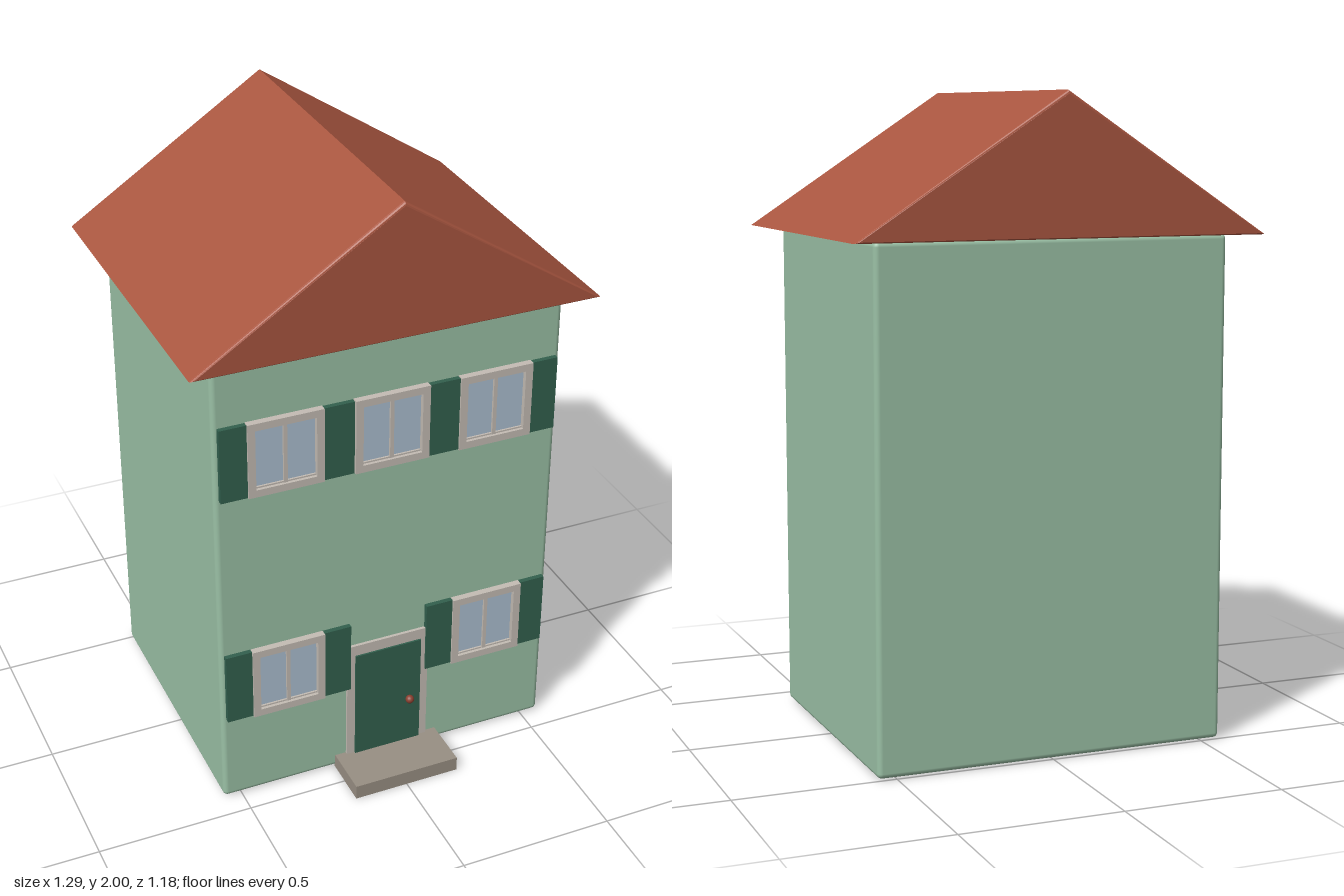
import * as THREE from 'three';
import { RoundedBoxGeometry } from 'three/addons/geometries/RoundedBoxGeometry.js';

const mat = (name, color) => {
  const m = new THREE.MeshStandardMaterial({ color });
  m.name = name;
  return m;
};

export function createModel() {
  const wall = mat('wall green', 0x9ac0a5);
  const roofRed = mat('roof red', 0xa95640);
  const darkGreen = mat('shutter green', 0x32604e);
  const trim = mat('trim grey', 0xc4bcb4);
  const glass = mat('window glass', 0xacbfd0);
  const stone = mat('step stone', 0x988f83);
  const brown = mat('knob brown', 0x8a4030);

  const house = new THREE.Group();
  house.name = 'house';
  const FRONT = 0.424; // z of the front wall

  const add = (parent, name, geometry, material, x = 0, y = 0, z = 0) => {
    const m = new THREE.Mesh(geometry, material);
    m.name = name;
    m.position.set(x, y, z);
    parent.add(m);
    return m;
  };
  // Box given by its limits
  const box = (parent, name, material, x0, x1, y0, y1, z0, z1) =>
    add(parent, name, new THREE.BoxGeometry(x1 - x0, y1 - y0, z1 - z0), material,
      (x0 + x1) / 2, (y0 + y1) / 2, (z0 + z1) / 2);
  // Flat rectangular frame with an opening
  const frame = (parent, name, w, h, border, open, depth, z) => {
    const s = new THREE.Shape([[-w, 0], [w, 0], [w, h], [-w, h]].map(p => new THREE.Vector2(...p)));
    const b = open ? -0.001 : border, i = w - border;
    if (open) {
      s.setFromPoints([[-w, 0], [-i, 0], [-i, h - border], [i, h - border], [i, 0], [w, 0], [w, h], [-w, h]]
        .map(p => new THREE.Vector2(...p)));
    } else {
      s.holes.push(new THREE.Path([[-i, b], [-i, h - b], [i, h - b], [i, b]].map(p => new THREE.Vector2(...p))));
    }
    return add(parent, name, new THREE.ExtrudeGeometry(s, { depth, bevelEnabled: false }), trim, 0, 0, z);
  };

  // Walls
  add(house, 'walls', new RoundedBoxGeometry(1.12, 1.57, 0.93, 3, 0.016), wall, 0, 0.79, -0.041);

  // Gable roof, a bevelled prism
  const gable = new THREE.Shape();
  gable.moveTo(-0.631, 1.579);
  gable.lineTo(0.631, 1.579);
  gable.lineTo(0, 1.988);
  gable.closePath();
  add(house, 'roof', new THREE.ExtrudeGeometry(gable, {
    depth: 1.072, bevelEnabled: true, bevelSize: 0.01, bevelThickness: 0.01, bevelSegments: 3,
  }), roofRed, 0, 0, -0.582);

  // Windows: frame, glass, thin mullion
  const addWindow = (x, y) => {
    const g = new THREE.Group();
    g.name = 'window';
    g.position.set(x, y, FRONT);
    house.add(g);
    frame(g, 'windowFrame', 0.12, 0.248, 0.024, false, 0.024, -0.002);
    box(g, 'glass', glass, -0.1, 0.1, 0.02, 0.228, -0.002, 0.006);
    box(g, 'mullion', trim, -0.006, 0.006, 0.022, 0.226, 0, 0.014);
    box(g, 'sashRail', trim, -0.097, 0.097, 0.022, 0.029, 0, 0.012);
  };
  for (const x of [-0.34, 0, 0.34]) addWindow(x, 1.118);
  for (const x of [-0.34, 0.34]) addWindow(x, 0.311);

  // Shutters, mirrored left and right
  const shutter = (x0, x1, y) => {
    for (const s of [-1, 1]) {
      const a = Math.min(s * x0, s * x1), b = Math.max(s * x0, s * x1);
      box(house, 'shutter', darkGreen, a, b, y, y + 0.245, FRONT - 0.002, FRONT + 0.016);
    }
  };
  for (const [y, inner] of [[1.119, 0.122], [0.314, 0.13]]) {
    shutter(0.46, 0.545, y);
    shutter(inner, 0.22, y);
  }

  // Door with surround, knob and step
  const door = new THREE.Group();
  door.name = 'door';
  door.position.set(0, 0.045, FRONT);
  house.add(door);
  frame(door, 'doorFrame', 0.14, 0.428, 0.028, true, 0.012, -0.002);
  box(door, 'doorPanel', darkGreen, -0.113, 0.113, 0, 0.391, -0.002, 0.016);
  add(door, 'doorKnob', new THREE.SphereGeometry(0.014, 16, 12), brown, 0.072, 0.174, 0.028);
  box(house, 'doorStep', stone, -0.177, 0.177, 0, 0.048, FRONT - 0.004, 0.592);

  return house;
}
